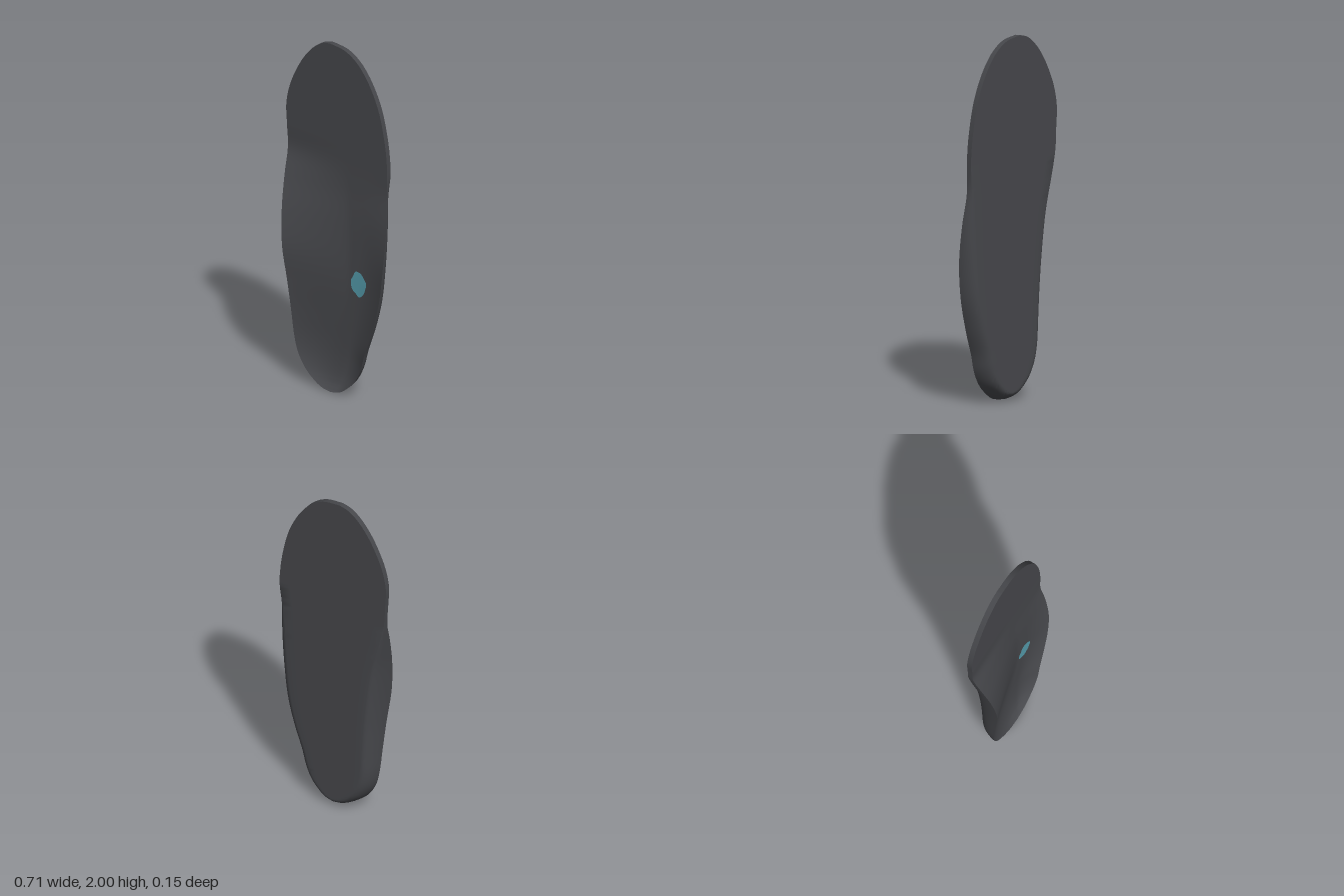
import * as THREE from 'three';
import { toCreasedNormals } from 'three/addons/utils/BufferGeometryUtils.js';

const BACK = -0.075; // flat underside
const HEEL_LIFT = 0.05; // underside starts higher than the heel rim

// Stations from heel to toe: y, left edge, right edge, z of left rim, right rim, middle, underside inset
const stations = [
  [0, 0, 0, 0.02, 0.02, 0.02, 0.28],
  [0.012, -0.06, 0.06, 0.02, 0.02, 0.01, 0.28],
  [0.045, -0.118, 0.112, 0.02, 0.02, -0.01, 0.28],
  [0.1, -0.178, 0.168, 0.02, 0.02, -0.025, 0.28],
  [0.18, -0.225, 0.21, 0.021, 0.02, -0.034, 0.28],
  [0.28, -0.248, 0.237, 0.025, 0.018, -0.037, 0.26],
  [0.42, -0.259, 0.285, 0.036, 0.014, -0.036, 0.24],
  [0.6, -0.272, 0.33, 0.055, 0.01, -0.034, 0.22],
  [0.8, -0.292, 0.351, 0.073, 0.003, -0.032, 0.2],
  [1.0, -0.312, 0.354, 0.05, -0.02, -0.034, 0.16],
  [1.18, -0.333, 0.341, 0, -0.043, -0.042, 0.07],
  [1.32, -0.346, 0.343, -0.044, -0.045, -0.045, 0.005],
  [1.45, -0.353, 0.335, -0.045, -0.045, -0.045, 0],
  [1.57, -0.358, 0.315, -0.045, -0.045, -0.045, 0],
  [1.68, -0.335, 0.287, -0.045, -0.045, -0.045, 0],
  [1.78, -0.292, 0.245, -0.045, -0.045, -0.045, 0],
  [1.87, -0.238, 0.19, -0.045, -0.045, -0.045, 0],
  [1.94, -0.178, 0.125, -0.045, -0.045, -0.045, 0],
  [1.985, -0.115, 0.045, -0.045, -0.045, -0.045, 0],
  [2, -0.055, -0.055, -0.045, -0.045, -0.045, 0],
];

// Smooth station at t in 0..1
function stationAt(t) {
  const last = stations.length - 1;
  const i = Math.min(Math.floor(t * last), last - 1);
  const f = t * last - i;
  const at = (k) => stations[Math.max(0, Math.min(last, k))];
  const [y, xl, xr, zl, zr, zc, inset] = stations[0].map((_, c) => {
    const [a, b, d, e] = [at(i - 1)[c], at(i)[c], at(i + 1)[c], at(i + 2)[c]];
    return b + 0.5 * f * (d - a + f * (2 * a - 5 * b + 4 * d - e + f * (3 * (b - d) + e - a)));
  });
  return { y, mid: (xl + xr) / 2, half: Math.max(0, (xr - xl) / 2), zl, zr, zc, inset };
}

// Footbed height at u in -1..1: long arch slope on one side, short lip on the other
function topZ(s, u) {
  const arch = THREE.MathUtils.smoothstep(s.y, 0.15, 0.7);
  const left = Math.max(0, (0.2 - u) / 1.2) ** (2.2 - 1.05 * arch);
  const right = Math.max(0, (u - 0.4) / 0.6) ** 2;
  return s.zc + (s.zl - s.zc) * left + (s.zr - s.zc) * right;
}

// One closed cross-section: footbed, wall, underside, wall
function section(s) {
  const points = [];
  const topSteps = 36, wallSteps = 9, backSteps = 10;
  for (let j = 0; j <= topSteps; j++) {
    const u = -1 + (2 * j) / topSteps;
    points.push([s.mid + s.half * u, s.y, topZ(s, u)]);
  }
  const wall = (side, k) => {
    const a = (k / wallSteps) * Math.PI / 2;
    const run = 0.35 * (k / wallSteps) + 0.65 * (1 - Math.cos(a));
    const rim = topZ(s, side);
    points.push([
      s.mid + side * s.half * (1 - s.inset * run),
      s.y + HEEL_LIFT * run * Math.max(0, 1 - s.y / 0.5),
      rim + (BACK - rim) * Math.sin(a),
    ]);
  };
  for (let k = 1; k <= wallSteps; k++) wall(1, k);
  const y = points[points.length - 1][1];
  for (let j = 1; j < backSteps; j++) {
    points.push([s.mid + s.half * (1 - s.inset) * (1 - (2 * j) / backSteps), y, BACK]);
  }
  for (let k = wallSteps; k >= 1; k--) wall(-1, k);
  return points;
}

function insoleGeometry() {
  const rows = 114;
  const positions = [], index = [];
  let n = 0;
  for (let i = 0; i <= rows; i++) {
    const ring = section(stationAt(i / rows));
    n = ring.length;
    positions.push(...ring.flat());
  }
  for (let i = 0; i < rows; i++) {
    for (let j = 0; j < n; j++) {
      const a = i * n + j, b = i * n + ((j + 1) % n);
      if (i > 0) index.push(a, b, b + n);
      if (i < rows - 1) index.push(a, b + n, a + n);
      if (i === 0) index.push(a, b, b + n);
      if (i === rows - 1) index.push(a, b + n, a + n);
    }
  }
  const geometry = new THREE.BufferGeometry();
  geometry.setAttribute('position', new THREE.Float32BufferAttribute(positions, 3));
  geometry.setIndex(index);
  return toCreasedNormals(geometry, 0.7);
}

// Footbed height at a point (x, y)
function heightAt(x, y) {
  let lo = 0, hi = 1;
  for (let k = 0; k < 30; k++) {
    const m = (lo + hi) / 2;
    if (stationAt(m).y < y) lo = m; else hi = m;
  }
  const s = stationAt(lo);
  return topZ(s, (x - s.mid) / s.half);
}

// Small irregular patch draped over the footbed
function patchGeometry() {
  const geometry = new THREE.CircleGeometry(1, 40);
  const p = geometry.attributes.position;
  for (let i = 0; i < p.count; i++) {
    const a = Math.atan2(p.getY(i), p.getX(i));
    const r = 1 + 0.06 * Math.sin(4 * a + 0.8) + 0.03 * Math.sin(7 * a);
    const x = 0.155 + 0.052 * r * p.getX(i), y = 0.652 + 0.07 * r * p.getY(i);
    p.setXYZ(i, x, y, heightAt(x, y) + 0.002);
  }
  geometry.computeVertexNormals();
  return geometry;
}

export function createModel() {
  const group = new THREE.Group();
  group.name = 'insole';
  const add = (name, geometry, color) => {
    const mesh = new THREE.Mesh(geometry, new THREE.MeshStandardMaterial({ color }));
    mesh.name = name;
    group.add(mesh);
  };
  add('insoleBody', insoleGeometry(), 0x46474b);
  add('heelPatch', patchGeometry(), 0x559cac);
  return group;
}
